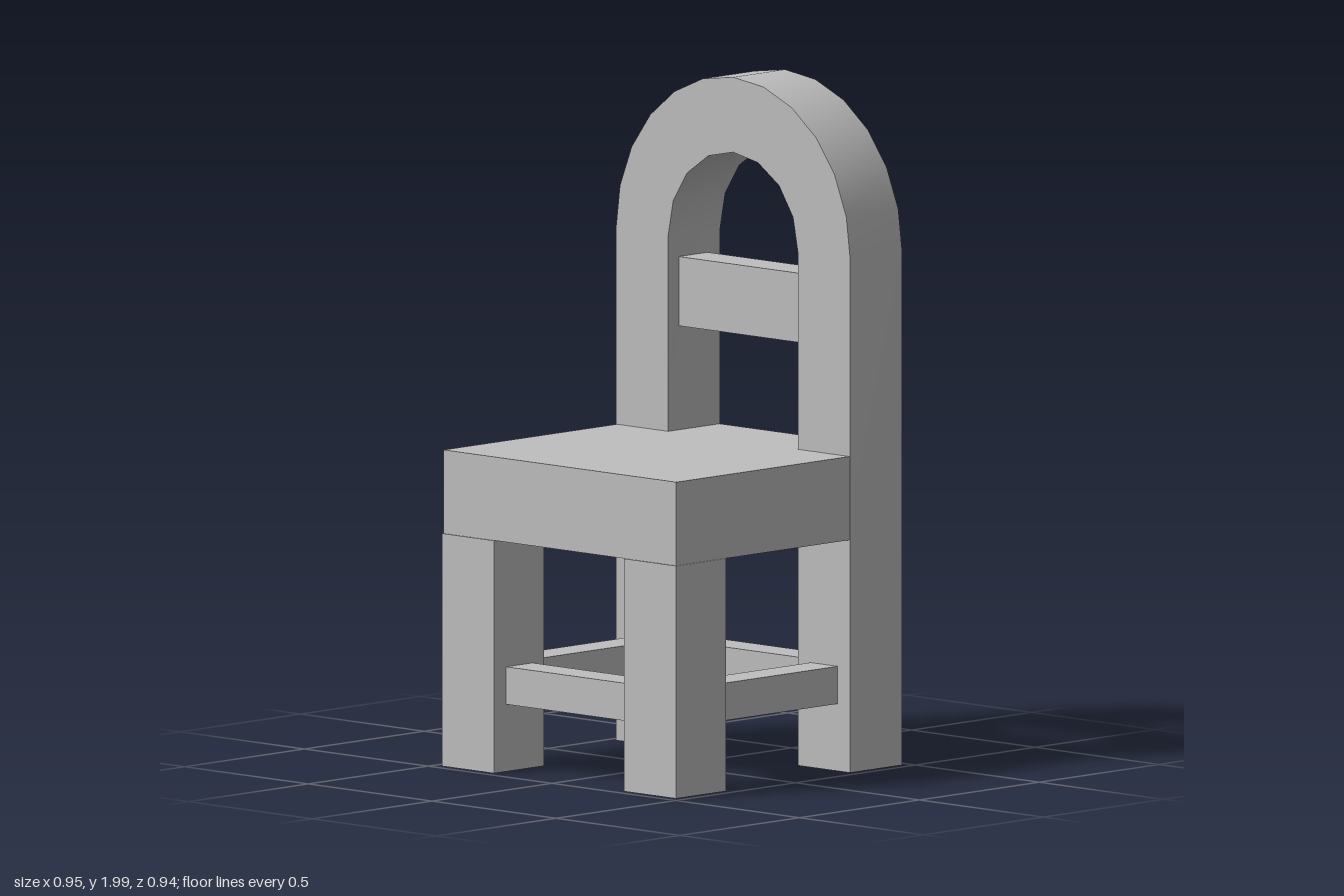
import * as THREE from 'three';
import { toCreasedNormals } from 'three/addons/utils/BufferGeometryUtils.js';

export function createModel() {
  const chair = new THREE.Group();
  const grey = new THREE.MeshStandardMaterial({ color: 0xbebebe });
  grey.name = 'grey';

  const OUT = 0.473, IN = 0.262;   // outer and inner faces of legs and posts
  const BASE = 0.008, UNDER = 0.69, TOP = 0.935;

  const add = (name, geometry) => {
    const mesh = new THREE.Mesh(geometry, grey);
    mesh.name = name;
    chair.add(mesh);
    return mesh;
  };
  // Box given by its limits on each axis
  const block = (name, x0, x1, y0, y1, z0, z1) =>
    add(name, new THREE.BoxGeometry(x1 - x0, y1 - y0, z1 - z0))
      .position.set((x0 + x1) / 2, (y0 + y1) / 2, (z0 + z1) / 2);

  // Half ellipse of points running from +x over the top to -x
  const arc = (rx, ry, y, n) => Array.from({ length: n + 1 }, (_, i) => {
    const a = Math.PI * i / n;
    return new THREE.Vector2(rx * Math.cos(a), y + ry * Math.sin(a));
  });

  // Back legs, posts and round top in one arched frame
  const outline = [
    new THREE.Vector2(-OUT, BASE), new THREE.Vector2(-IN, BASE),
    ...arc(IN, 0.27, 1.51, 8).reverse(),
    new THREE.Vector2(IN, BASE), new THREE.Vector2(OUT, BASE),
    ...arc(OUT, 0.49, 1.51, 12),
  ];
  const arch = new THREE.ExtrudeGeometry(new THREE.Shape(outline), { depth: OUT - 0.256, bevelEnabled: false });
  add('backFrame', toCreasedNormals(arch, 0.6)).position.z = -OUT;

  // Seat, with its rear part filling the space between the posts
  block('seat', -0.47, 0.47, UNDER, TOP, -0.256, 0.467);
  block('seatRear', -IN, IN, UNDER, TOP, -0.471, -0.256);

  // Front legs and side rails
  for (const [side, s] of [['left', 1], ['right', -1]]) {
    const x = s * (OUT + IN) / 2, half = (OUT - IN) / 2;
    block(side + 'FrontLeg', x - half, x + half, BASE, UNDER, IN, 0.471);
    block(side + 'Rail', x - 0.055, x + 0.055, 0.205, 0.315, -0.258, IN);
  }

  // Front and back rails, and the backrest slat
  block('frontRail', -IN, IN, 0.205, 0.315, 0.31, 0.42);
  block('backRail', -IN, IN, 0.205, 0.315, -0.42, -0.31);
  block('backSlat', -IN, IN, 1.24, 1.443, -0.42, -0.3);

  return chair;
}
